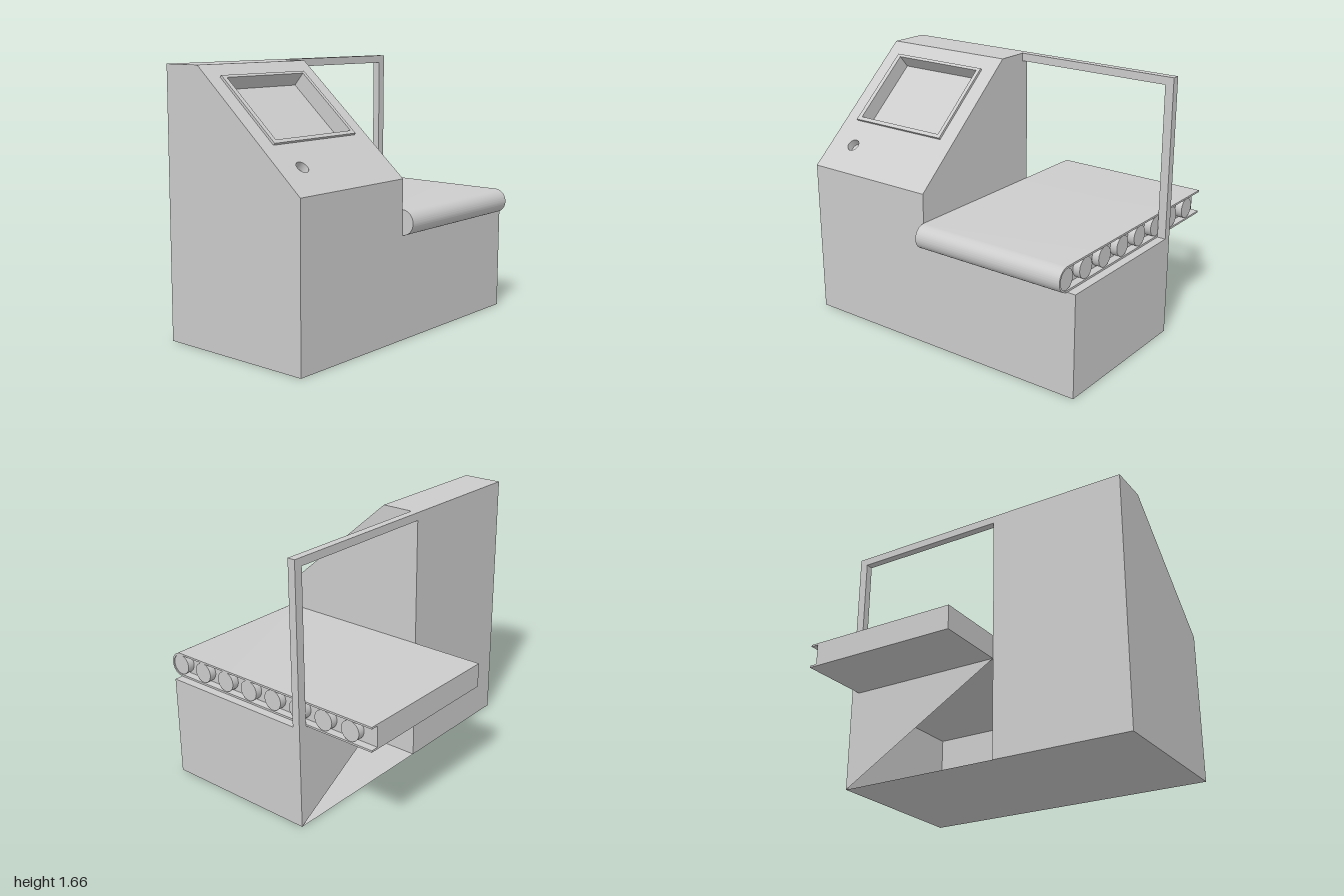
import * as THREE from 'three';
import { toCreasedNormals } from 'three/addons/utils/BufferGeometryUtils.js';

const grey = new THREE.MeshStandardMaterial({ color: 0xcccccc });
const greyBoth = new THREE.MeshStandardMaterial({ color: 0xcccccc, side: THREE.DoubleSide });

const LEFT = -1, SPLIT = -0.095, RIGHT = 1;
const FRONT = 0.72, BACK = -0.32, DECK = 0.65, TOP = 1.665;

function add(parent, name, geometry, material = grey) {
  const mesh = new THREE.Mesh(geometry, material);
  mesh.name = name;
  parent.add(mesh);
  return mesh;
}

// Box given by its minimum and maximum corners
function boxBetween(x0, x1, y0, y1, z0, z1) {
  return new THREE.BoxGeometry(x1 - x0, y1 - y0, z1 - z0)
    .translate((x0 + x1) / 2, (y0 + y1) / 2, (z0 + z1) / 2);
}

// Remove a run of triangles from an indexed geometry
function dropTriangles(geometry, first, count) {
  const index = Array.from(geometry.index.array);
  index.splice(first * 3, count * 3);
  geometry.setIndex(index);
  geometry.clearGroups();
  return geometry;
}

// Rectangle as a shape or a hole
function rect(x0, x1, y0, y1, Type = THREE.Shape) {
  return new Type([[x0, y0], [x1, y0], [x1, y1], [x0, y1]].map(p => new THREE.Vector2(...p)));
}

// Extrude a shape drawn in (-z, y) along x
function extrudeX(shape, x0, x1) {
  const g = new THREE.ExtrudeGeometry(shape, { depth: x1 - x0, bevelEnabled: false, curveSegments: 32 });
  return toCreasedNormals(g.rotateY(Math.PI / 2).translate(x0, 0, 0), 0.5);
}

function buildConsole() {
  const group = new THREE.Group();
  group.name = 'console';
  // Side profile as (z, y)
  const profile = [[FRONT, 0], [FRONT, 0.99], [-0.06, TOP], [BACK, TOP], [BACK, 0]];
  const names = ['frontPanel', 'slopedPanel', 'topPanel', 'backPanel', 'bottomPanel'];

  // Side walls
  const side = new THREE.Shape(profile.map(([z, y]) => new THREE.Vector2(-z, y)));
  for (const [name, x] of [['rightWall', LEFT], ['leftWall', SPLIT]]) {
    add(group, name, new THREE.ShapeGeometry(side).rotateY(Math.PI / 2).translate(x, 0, 0), greyBoth);
  }

  // One panel per profile edge; the sloped one carries the screen and button
  profile.forEach(([z, y], i) => {
    const [z2, y2] = profile[(i + 1) % profile.length];
    const panel = new THREE.Group();
    panel.name = names[i] + 'Group';
    panel.position.set(0, y, z);
    panel.rotation.x = Math.atan2(z2 - z, y2 - y);
    group.add(panel);
    const shape = rect(LEFT, SPLIT, 0, Math.hypot(z2 - z, y2 - y));
    if (names[i] === 'slopedPanel') addControls(panel, shape);
    add(panel, names[i], new THREE.ShapeGeometry(shape, 32), greyBoth);
  });
  return group;
}

function addControls(panel, shape) {
  const x0 = -0.87, x1 = -0.225, s0 = 0.405, s1 = 0.905;
  const rise = 0.015, depth = 0.085;
  shape.holes.push(rect(x0, x1, s0, s1, THREE.Path));

  // Raised screen bezel
  const bezel = rect(-0.9, -0.2, 0.38, 0.925);
  bezel.holes.push(rect(x0, x1, s0, s1, THREE.Path));
  add(panel, 'screenBezel', new THREE.ExtrudeGeometry(bezel, { depth: rise, bevelEnabled: false }));

  // Sunken screen: an open box without its outer face
  add(panel, 'screenRecess', dropTriangles(boxBetween(x0, x1, s0, s1, -depth, 0), 8, 2), greyBoth);

  // Button hole
  const cx = -0.815, cs = 0.2, r = 0.04, sink = 0.05;
  shape.holes.push(new THREE.Path().absarc(cx, cs, r, 0, Math.PI * 2));
  const wall = new THREE.CylinderGeometry(r, r, sink, 32, 1, true).rotateX(Math.PI / 2);
  add(panel, 'buttonHoleWall', wall.translate(cx, cs, -sink / 2), greyBoth);
  add(panel, 'buttonHoleFloor', new THREE.CircleGeometry(r, 32).translate(cx, cs, -sink));
}

function buildConveyor() {
  const group = new THREE.Group();
  group.name = 'conveyor';
  const end = 0.945, coreEnd = 0.895, rear = 0.8, cy = 0.7275, R = 0.0775, r = 0.0655;

  // Belt: a thin U wrapped round the front roller
  const belt = new THREE.Shape();
  belt.moveTo(rear, cy - R);
  belt.lineTo(-FRONT, cy - R);
  belt.absarc(-FRONT, cy, R, -Math.PI / 2, -Math.PI * 1.5, true);
  belt.lineTo(rear, cy + R);
  belt.lineTo(rear, cy + r);
  belt.lineTo(-FRONT, cy + r);
  belt.absarc(-FRONT, cy, r, Math.PI / 2, Math.PI * 1.5, false);
  belt.lineTo(rear, cy - r);
  add(group, 'belt', extrudeX(belt, SPLIT, end));

  // Core, set back from the open side
  const core = new THREE.Shape();
  core.moveTo(rear, cy - r);
  core.lineTo(-FRONT, cy - r);
  core.absarc(-FRONT, cy, r, -Math.PI / 2, -Math.PI * 1.5, true);
  core.lineTo(rear, cy + r);
  add(group, 'core', extrudeX(core, SPLIT, coreEnd));

  // Roller ends
  const rollerEnd = 0.94;
  for (let i = 0; i < 8; i++) {
    const g = new THREE.CylinderGeometry(0.064, 0.064, rollerEnd - coreEnd, 32).rotateZ(Math.PI / 2);
    add(group, 'roller', g).position.set((coreEnd + rollerEnd) / 2, cy, FRONT + 0.003 - i * 0.195);
  }
  return group;
}

export function createModel() {
  const model = new THREE.Group();
  model.name = 'conveyorMachine';
  model.add(buildConsole(), buildConveyor());

  // Hollow base: half of the back is open, the console closes the inner side
  const base = boxBetween(SPLIT, RIGHT, 0, DECK, BACK, FRONT);
  dropTriangles(base, 11, 1);
  dropTriangles(base, 2, 2);
  add(model, 'base', base, greyBoth);

  // Gantry over the conveyor
  add(model, 'gantryPost', boxBetween(0.945, RIGHT, DECK, TOP, BACK, -0.27));
  add(model, 'gantryBeam', boxBetween(SPLIT, 0.945, 1.615, TOP, BACK, -0.27));
  return model;
}
